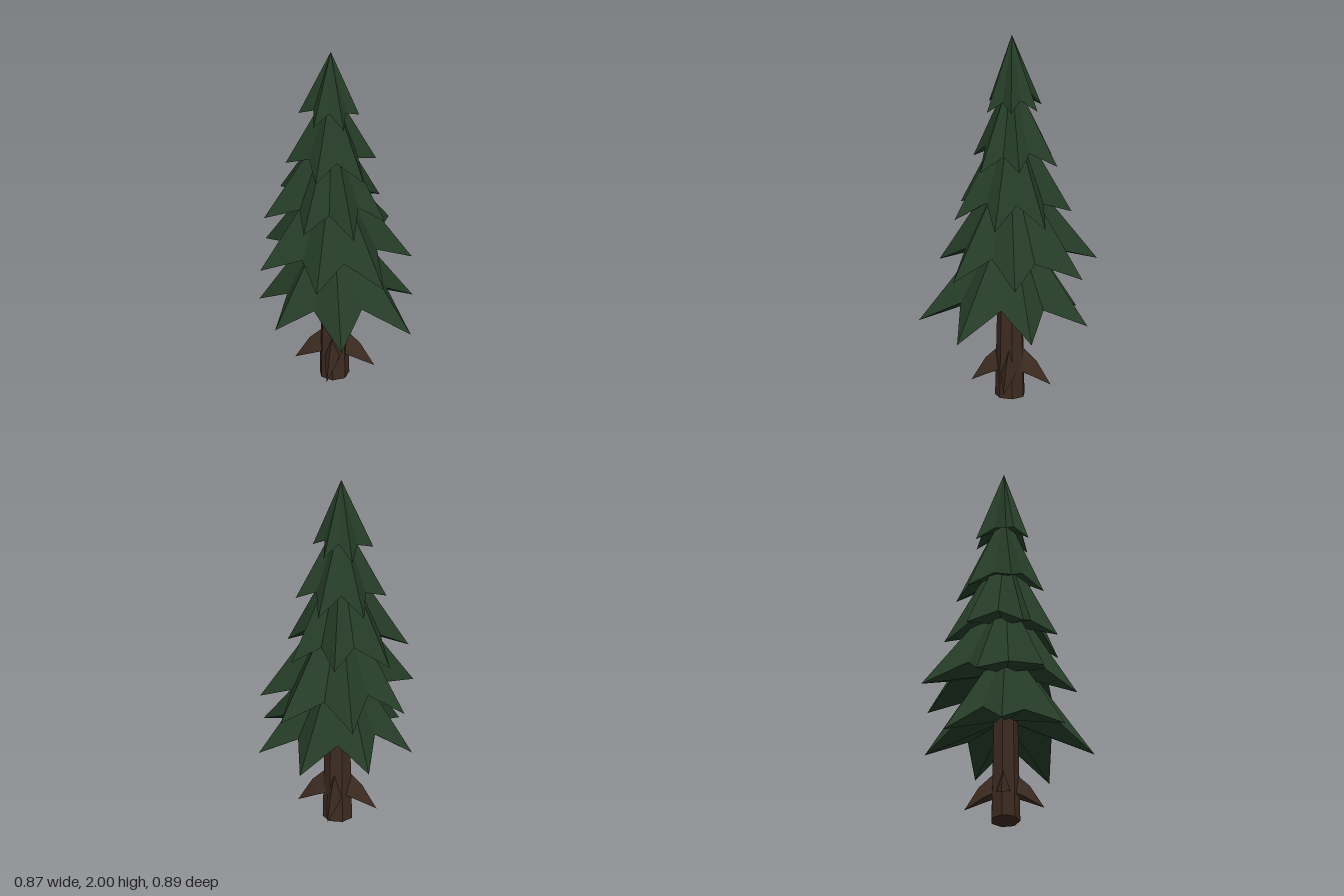
import * as THREE from 'three';

const needles = new THREE.MeshStandardMaterial({ color: 0x263d28, flatShading: true });
needles.name = 'needle green';
const bark = new THREE.MeshStandardMaterial({ color: 0x3c2b21, flatShading: true });
bark.name = 'bark brown';

// Flat-faced mesh from a list of triangle corners
function facetMesh(name, corners, material) {
  const geometry = new THREE.BufferGeometry().setFromPoints(corners);
  geometry.computeVertexNormals();
  const mesh = new THREE.Mesh(geometry, material);
  mesh.name = name;
  return mesh;
}

// Each tier: apex, tip and notch heights, then [angle in degrees, reach] for every tip
const tiers = [
  { apex: 1.05, tip: 0.43, notch: 0.55,
    tips: [[17, 0.5], [67, 0.48], [120, 0.41], [173, 0.39], [227, 0.39], [278, 0.45], [328, 0.435]] },
  { apex: 1.34, tip: 0.725, notch: 0.82,
    tips: [[31, 0.41], [85, 0.38], [140, 0.41], [192, 0.4], [242, 0.465], [291, 0.48], [340, 0.42]] },
  { apex: 1.6, tip: 1.01, notch: 1.1,
    tips: [[0, 0.295], [51, 0.32], [102, 0.3], [154, 0.36], [204, 0.36], [256, 0.32], [307, 0.31]] },
  { apex: 1.79, tip: 1.3, notch: 1.38,
    tips: [[27, 0.24], [95, 0.215], [161, 0.24], [221, 0.25], [277, 0.265], [333, 0.24]] },
  { apex: 2, tip: 1.6, notch: 1.66,
    tips: [[45, 0.15], [110, 0.15], [166, 0.17], [230, 0.17], [286, 0.16], [345, 0.15]] },
];

// Star-shaped cone with drooping tips and a closed underside
function foliageTier({ apex, tip, notch, tips }, index) {
  const cx = -0.045 - index * 0.003, cz = -index * 0.002;
  const point = (degrees, r, y) => {
    const a = THREE.MathUtils.degToRad(degrees);
    return new THREE.Vector3(cx + r * Math.cos(a), y, cz + r * Math.sin(a));
  };
  const rim = [];
  tips.forEach(([angle, reach], i) => {
    const [nextAngle, nextReach] = tips[(i + 1) % tips.length];
    const gap = (nextAngle - angle + 360) % 360;
    const sway = (i % 3 - 1) * 0.012;
    rim.push(point(angle, reach, tip + sway));
    rim.push(point(angle + gap / 2, (reach + nextReach) * 0.31, notch - sway));
  });
  const top = new THREE.Vector3(cx, apex, cz);
  const under = new THREE.Vector3(cx, notch + 0.03, cz);
  const corners = [];
  rim.forEach((p, i) => {
    const q = rim[(i + 1) % rim.length];
    corners.push(top, q, p, under, p, q);
  });
  return facetMesh('foliageTier' + (index + 1), corners, needles);
}

// Bent, drooping three-sided stub that tapers to a point along +x
function branchStub(name) {
  const section = (topX, topY, lowX, lowY, w) => [
    new THREE.Vector3(topX, topY, 0),
    new THREE.Vector3(lowX, lowY, w),
    new THREE.Vector3(lowX, lowY, -w),
  ];
  const rings = [
    section(0.04, 0.29, 0.05, 0.15, 0.04),
    section(0.135, 0.2, 0.11, 0.125, 0.032),
    section(0.212, 0.07, 0.212, 0.07, 0),
  ];
  const corners = [];
  for (let r = 0; r < 2; r++) {
    const a = rings[r], b = rings[r + 1];
    for (let i = 0; i < 3; i++) {
      const j = (i + 1) % 3;
      corners.push(a[i], a[j], b[j]);
      if (r === 0) corners.push(a[i], b[j], b[i]);
    }
  }
  return facetMesh(name, corners, bark);
}

export function createModel() {
  const model = new THREE.Group();
  model.name = 'pineTree';

  // Trunk
  const trunk = new THREE.Mesh(new THREE.CylinderGeometry(0.06, 0.08, 0.9, 7), bark);
  trunk.name = 'trunk';
  trunk.position.set(-0.037, 0.45, -0.005);
  trunk.rotation.y = 0.2;
  model.add(trunk);

  // Four dead branch stubs low on the trunk
  for (let i = 0; i < 4; i++) {
    const stub = branchStub('branchStub' + (i + 1));
    stub.position.set(-0.035, 0, -0.01);
    stub.rotation.y = i * Math.PI / 2 + 0.1;
    model.add(stub);
  }

  // Foliage
  tiers.forEach((tier, i) => model.add(foliageTier(tier, i)));
  return model;
}
